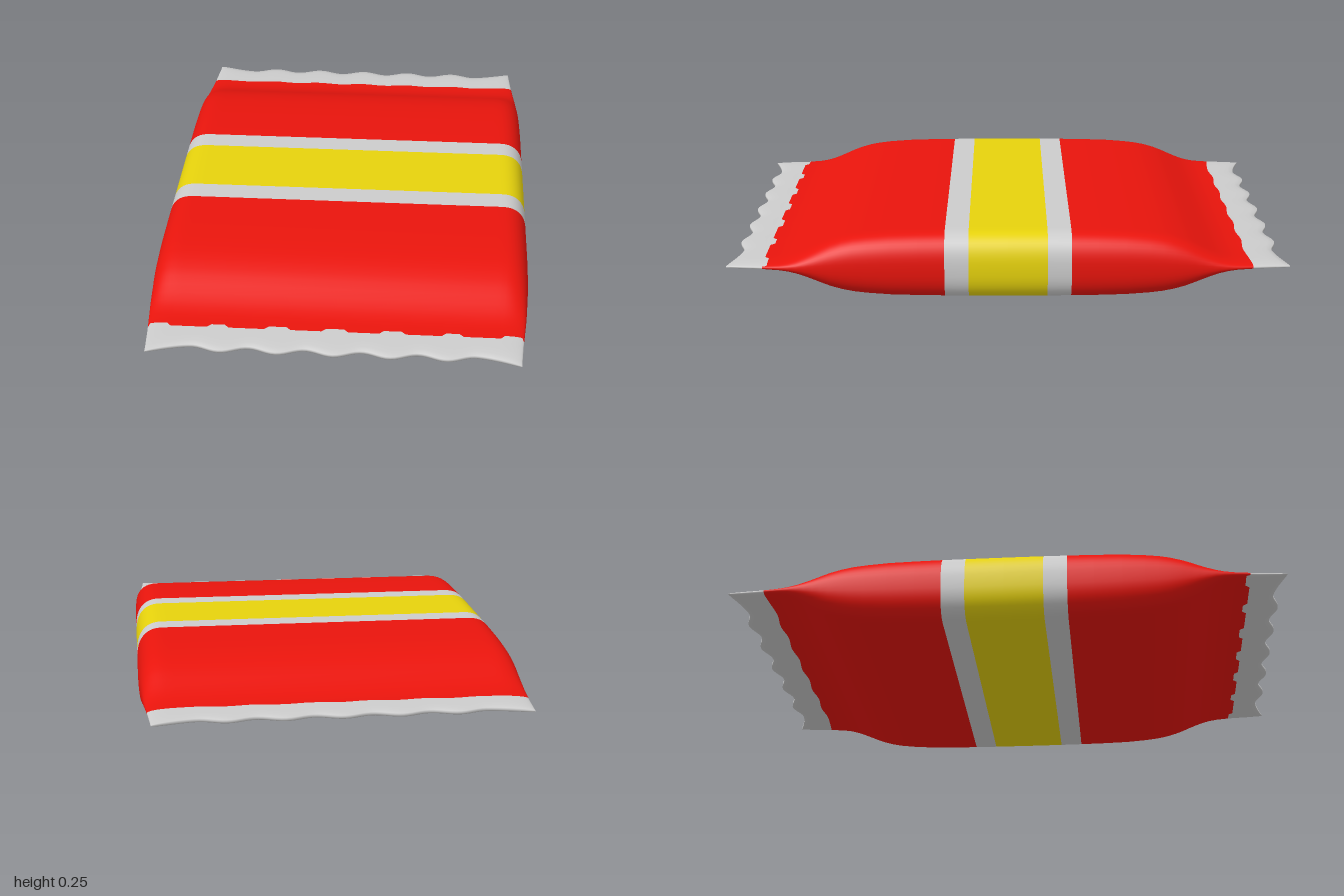
import * as THREE from 'three';

const CENTRE_Y = 0.1235, CORNER = 0.1, CORNER_STEPS = 12, FLAT_STEPS = 72;
const SEAL = 0.868, BAND = 0.225, STRIPE = 0.14;

// Half profile along the length: distance from the middle, half height, half width
const PROFILE = [
  [0, 0.1235, 0.68], [STRIPE, 0.1232, 0.68], [BAND, 0.1225, 0.68], [0.32, 0.121, 0.68],
  [0.42, 0.118, 0.68], [0.5, 0.112, 0.679], [0.55, 0.106, 0.678], [0.59, 0.098, 0.677],
  [0.63, 0.086, 0.675], [0.66, 0.074, 0.673], [0.69, 0.06, 0.671], [0.72, 0.046, 0.669],
  [0.75, 0.033, 0.667], [0.78, 0.023, 0.664], [0.81, 0.017, 0.661], [0.84, 0.0145, 0.658],
  [SEAL, 0.013, 0.655], [0.9, 0.0125, 0.652], [0.94, 0.012, 0.649], [0.975, 0.01, 0.646],
  [1, 0.006, 0.645], [1, 0, 0.645],
];

// Scalloped outline of the sealed ends, with pointed outer corners
function scallop(x) {
  const ax = Math.abs(x);
  if (ax < 0.4875) return -0.0275 + 0.0125 * Math.cos(2 * Math.PI * x / 0.195);
  return -0.04 + 0.04 * Math.pow(Math.min(1, (ax - 0.4875) / 0.155), 1.5);
}

// Small square notches where the front colour meets the seal
function notch(x) {
  const d = Math.abs(x / 0.205 - Math.round(x / 0.205)) * 0.205;
  return d < 0.036 ? 0.855 : 0.87;
}

// Closed soft-cornered cross-section, counter-clockwise seen from the front
function crossSection(h, w) {
  const half = [];
  const flat = w - CORNER;
  const corner = (a) => [flat + CORNER * Math.pow(Math.cos(a), 0.8), h * Math.pow(Math.sin(a), 0.8)];
  for (let i = 0; i < CORNER_STEPS; i++) half.push(corner(i / CORNER_STEPS * Math.PI / 2));
  for (let i = 0; i <= FLAT_STEPS; i++) half.push([flat - 2 * flat * i / FLAT_STEPS, h]);
  for (let i = CORNER_STEPS - 1; i > 0; i--) {
    const [x, y] = corner(i / CORNER_STEPS * Math.PI / 2);
    half.push([-x, y]);
  }
  return [...half, ...half.map(([x, y]) => [-x, -y]).map(([x, y], i) => i === 0 ? [-w, 0] : [x, y])];
}

// Puffed skin lofted from the back seal to the front seal
function createSkin() {
  const stations = [
    ...PROFILE.slice(1).reverse().map(([z, h, w]) => [-z, h, w]),
    ...PROFILE,
  ];
  const positions = [];
  let count = 0;
  for (const [z, h, w] of stations) {
    const section = crossSection(h, w);
    count = section.length;
    const pull = Math.max(0, (Math.abs(z) - 0.8) / 0.2);
    for (const [x, y] of section) {
      const warped = z === SEAL ? notch(x) : z + Math.sign(z) * pull * scallop(x);
      positions.push(x, CENTRE_Y + y, warped);
    }
  }
  // Faces are sorted by the part they belong to
  const faces = { body: [], stripe: [], trim: [], frontSeal: [], backSeal: [] };
  const all = [];
  for (let j = 0; j < stations.length - 1; j++) {
    const z = (stations[j][0] + stations[j + 1][0]) / 2, d = Math.abs(z);
    const part = d > SEAL ? (z > 0 ? 'frontSeal' : 'backSeal')
      : d > BAND ? 'body' : d > STRIPE ? 'trim' : 'stripe';
    for (let i = 0; i < count; i++) {
      const n = (i + 1) % count;
      const a = j * count + i, b = j * count + n, c = a + count, e = b + count;
      faces[part].push(a, b, c, b, e, c);
      all.push(a, b, c, b, e, c);
    }
  }
  const skin = new THREE.BufferGeometry();
  skin.setAttribute('position', new THREE.Float32BufferAttribute(positions, 3));
  skin.setIndex(all);
  skin.computeVertexNormals();
  return { skin, faces };
}

export function createModel() {
  const group = new THREE.Group();
  group.name = 'snackPacket';
  const red = new THREE.MeshStandardMaterial({ color: 0xe8140c });
  const yellow = new THREE.MeshStandardMaterial({ color: 0xe6d20c });
  const grey = new THREE.MeshStandardMaterial({ color: 0xcccccc });
  const materials = { body: red, stripe: yellow, trim: grey, frontSeal: grey, backSeal: grey };

  // Parts share the skin's normals, so shading runs smoothly across their borders
  const { skin, faces } = createSkin();
  for (const [name, index] of Object.entries(faces)) {
    skin.setIndex(index);
    const mesh = new THREE.Mesh(skin.toNonIndexed(), materials[name]);
    mesh.name = name;
    group.add(mesh);
  }
  return group;
}
